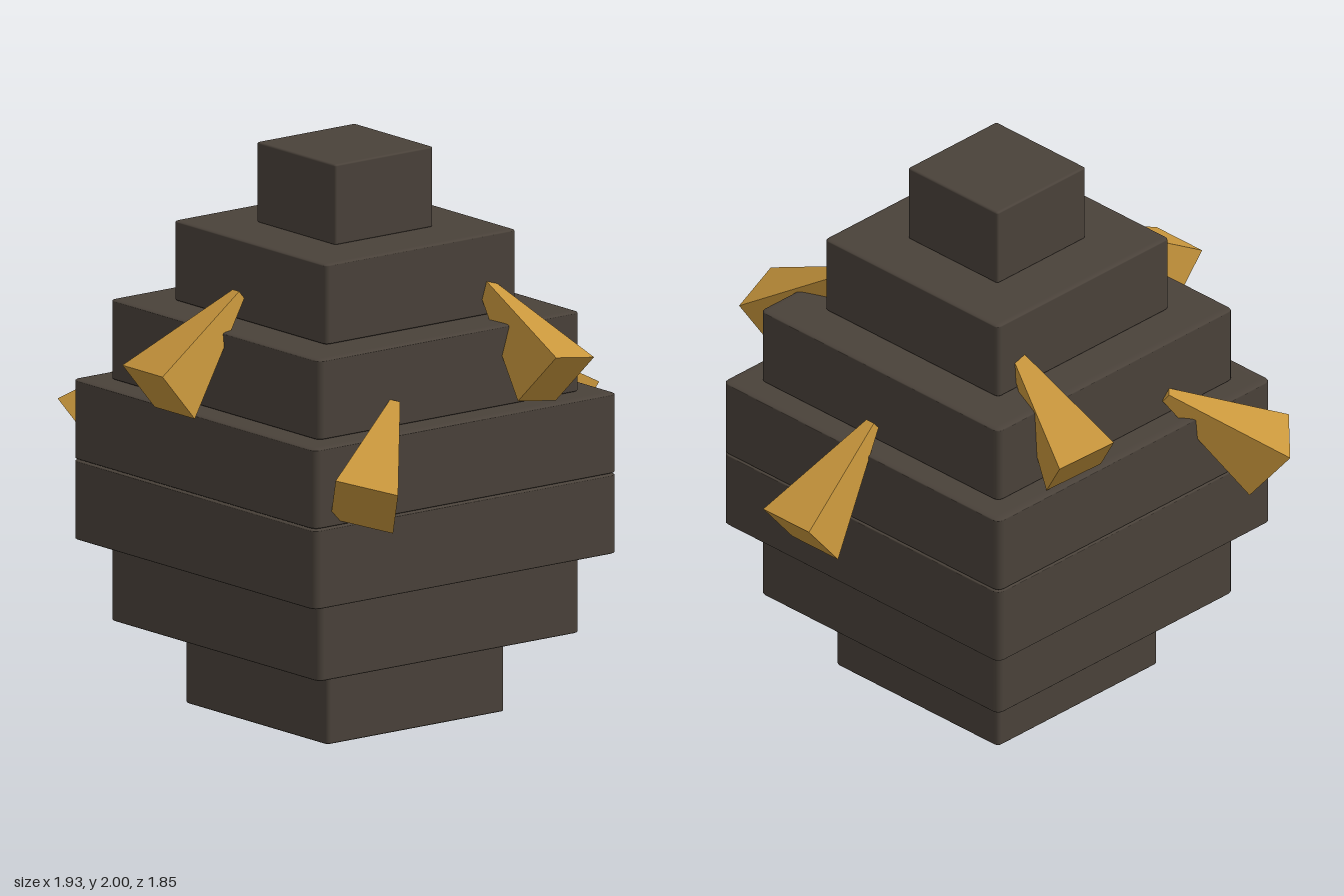
import * as THREE from 'three';
import { RoundedBoxGeometry } from 'three/addons/geometries/RoundedBoxGeometry.js';

const stone = new THREE.MeshStandardMaterial({ color: 0x4a423a });
const gold = new THREE.MeshStandardMaterial({ color: 0xc8963c, flatShading: true });

const SPIKE_LENGTH = 0.46;
const SPIKE_WIDTH = 0.222;
const TIP_WIDTH = 0.036;

// Square tapered spike: tip along +y, sides aligned with x and z
function spikeGeometry() {
  const r = Math.SQRT1_2;
  const geo = new THREE.CylinderGeometry(TIP_WIDTH * r, SPIKE_WIDTH * r, SPIKE_LENGTH, 4);
  return geo.rotateY(Math.PI / 4);
}

// Places a spike between its tip and the centre of its wide end;
// edge is the direction of one side of the wide end
function makeSpike(geo, name, tip, base, edge) {
  const t = new THREE.Vector3(...tip);
  const b = new THREE.Vector3(...base);
  const y = t.clone().sub(b).normalize();
  const z = new THREE.Vector3(...edge).cross(y).normalize();
  const x = new THREE.Vector3().crossVectors(y, z);
  const mesh = new THREE.Mesh(geo, gold);
  mesh.name = name;
  mesh.quaternion.setFromRotationMatrix(new THREE.Matrix4().makeBasis(x, y, z));
  mesh.position.copy(t).add(b).multiplyScalar(0.5);
  return mesh;
}

export function createModel() {
  const model = new THREE.Group();
  model.name = 'tieredBody';

  // Stacked square tiers of equal height, from the bottom up
  const widths = [0.787, 1.156, 1.34, 1.34, 1.156, 0.842, 0.434];
  const tierHeight = 2 / widths.length;
  const block = new RoundedBoxGeometry(1, 1, 1, 2, 0.022);
  widths.forEach((w, i) => {
    const tier = new THREE.Mesh(block, stone);
    tier.name = `tier${i + 1}`;
    tier.scale.set(w, tierHeight, w);
    tier.position.set(-0.07, (i + 0.5) * tierHeight, 0);
    model.add(tier);
  });

  // Side spikes
  const geo = spikeGeometry();
  model.add(makeSpike(geo, 'leftSpike', [0.54, 1.23, 0], [0.893, 0.935, 0], [0, 0, 1]));
  model.add(makeSpike(geo, 'rightSpike', [-0.54, 1.54, 0], [-0.893, 1.245, 0], [0, 0, 1]));

  // Front spikes, mirrored to the back
  for (const [side, s] of [['front', 1], ['back', -1]]) {
    model.add(makeSpike(geo, `${side}UpperSpike`,
      [0.232, 1.542, 0.384 * s], [0.27, 1.255, 0.74 * s], [0.21, -0.04, -0.055 * s]));
    model.add(makeSpike(geo, `${side}LowerSpike`,
      [-0.313, 1.226, 0.579 * s], [-0.612, 0.943, 0.785 * s], [0.15, -0.045, 0.155 * s]));
  }
  return model;
}
